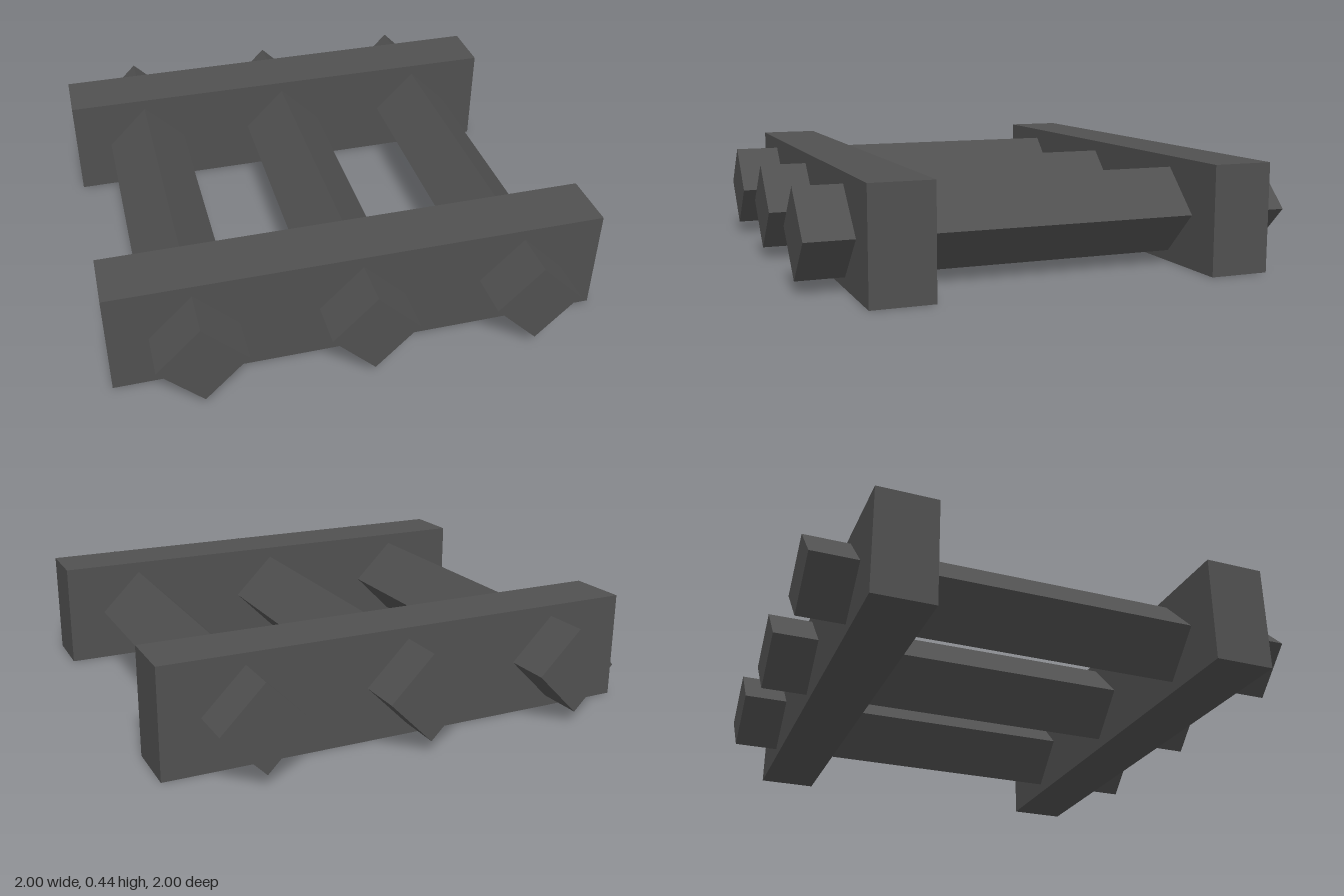
import * as THREE from 'three';

export function createModel() {
  const model = new THREE.Group();
  model.name = 'barGrate';
  const darkIron = new THREE.MeshStandardMaterial({ color: 0x505050 });
  darkIron.name = 'dark iron';

  const centreY = 0.22;

  // Two flat rails running across, front and back
  const railGeometry = new THREE.BoxGeometry(2, 0.44, 0.247);
  for (const [name, z] of [['frontRail', 0.687], ['backRail', -0.687]]) {
    const rail = new THREE.Mesh(railGeometry, darkIron);
    rail.name = name;
    rail.position.set(0, centreY, z);
    model.add(rail);
  }

  // Three square bars set on edge, passing through both rails
  const side = 0.35 / Math.SQRT2;
  const barGeometry = new THREE.BoxGeometry(side, side, 2).rotateZ(Math.PI / 4);
  for (const [name, x] of [['rightBar', -0.667], ['middleBar', 0], ['leftBar', 0.667]]) {
    const bar = new THREE.Mesh(barGeometry, darkIron);
    bar.name = name;
    bar.position.set(x, centreY, 0);
    model.add(bar);
  }

  return model;
}
